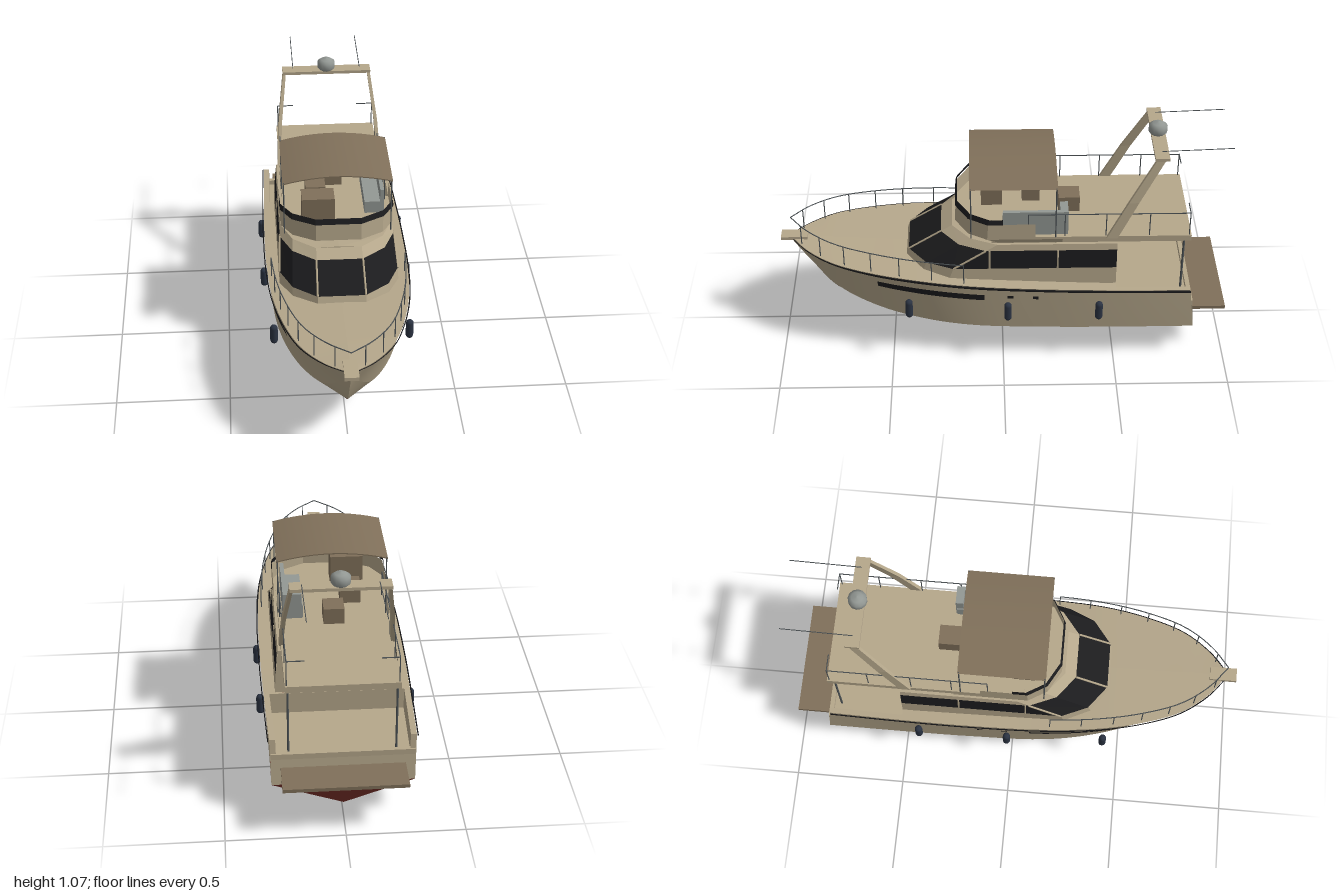
import * as THREE from 'three';

const mat = (name, color, side = THREE.DoubleSide) => {
  const m = new THREE.MeshStandardMaterial({ color, side });
  m.name = name;
  return m;
};
const V = (x, y, z) => new THREE.Vector3(x, y, z);

export function createModel() {
  const cream = mat('cream', 0xb5a78b), teak = mat('teak', 0x80705a), black = mat('dark glass', 0x1c1c1e),
    red = mat('bottom red', 0x54201a), navy = mat('fender navy', 0x2b3342), grey = mat('light grey', 0x939894),
    steel = mat('steel', 0x4e5457);
  const boat = new THREE.Group();
  boat.name = 'motorYacht';

  const add = (name, geo, m, x = 0, y = 0, z = 0) => {
    const mesh = new THREE.Mesh(geo, m);
    mesh.name = name;
    mesh.position.set(x, y, z);
    boat.add(mesh);
    return mesh;
  };
  // Box given by its extents
  const box = (name, m, x0, x1, y0, y1, z0, z1) =>
    add(name, new THREE.BoxGeometry(x1 - x0, y1 - y0, z1 - z0), m, (x0 + x1) / 2, (y0 + y1) / 2, (z0 + z1) / 2);
  const rod = (name, m, a, b, r, sides = 6) => {
    const mesh = add(name, new THREE.CylinderGeometry(r, r, a.distanceTo(b), sides), m);
    mesh.position.copy(a).add(b).multiplyScalar(0.5);
    mesh.quaternion.setFromUnitVectors(V(0, 1, 0), b.clone().sub(a).normalize());
    return mesh;
  };
  // Surface through rows of points
  const skin = (name, m, rows, flat = false) => {
    const n = rows[0].length, idx = [];
    for (let i = 0; i < rows.length - 1; i++)
      for (let j = 0; j < n - 1; j++) {
        const a = i * n + j, b = a + n;
        idx.push(a, a + 1, b, b, a + 1, b + 1);
      }
    let geo = new THREE.BufferGeometry().setFromPoints(rows.flat());
    geo.setIndex(idx);
    if (flat) geo = geo.toNonIndexed();
    geo.computeVertexNormals();
    return add(name, geo, m);
  };
  const flip = (p) => V(-p.x, p.y, p.z);
  // Same surface on both sides of the boat
  const skinBoth = (name, m, rows) => {
    skin(name + 'Left', m, rows);
    skin(name + 'Right', m, rows.map((r) => r.map(flip)).reverse());
  };

  // Hull lines from bow to stern
  const line = (pts) => new THREE.CatmullRomCurve3(pts.map((p) => V(...p)));
  const sheer = line([[0, 0.48, 0.96], [0.1, 0.47, 0.88], [0.19, 0.462, 0.76], [0.25, 0.452, 0.6], [0.293, 0.44, 0.4],
    [0.315, 0.42, 0.15], [0.32, 0.4, -0.2], [0.315, 0.387, -0.5], [0.305, 0.375, -0.83]]);
  const chine = line([[0, 0.45, 0.95], [0.03, 0.37, 0.87], [0.1, 0.265, 0.75], [0.18, 0.215, 0.58], [0.245, 0.19, 0.38],
    [0.285, 0.175, 0.15], [0.298, 0.168, -0.2], [0.3, 0.165, -0.5], [0.3, 0.165, -0.855]]);
  const keel = line([[0, 0.44, 0.945], [0, 0.32, 0.865], [0, 0.176, 0.755], [0, 0.115, 0.6], [0, 0.085, 0.38],
    [0, 0.073, 0.15], [0, 0.068, -0.2], [0, 0.068, -0.5], [0, 0.068, -0.865]]);
  const row = (fn, u0 = 0, u1 = 1, n = 48) =>
    Array.from({ length: n + 1 }, (_, i) => fn(u0 + ((u1 - u0) * i) / n));
  const S = (u) => sheer.getPoint(u), C = (u) => chine.getPoint(u), K = (u) => keel.getPoint(u);
  const water = (u) => {
    const k = K(u), c = C(u);
    return k.clone().lerp(c, THREE.MathUtils.clamp((0.188 - k.y) / (c.y - k.y), 0, 1));
  };
  const side = (t, off = 0) => (u) => C(u).lerp(S(u), t).add(V(off, 0, off * 0.3 * (1 - u)));

  skinBoth('hullBottom', red, [row(K), row(water)]);
  skinBoth('hullForefoot', cream, [row(water), row(C)]);
  skinBoth('hullTopside', cream, [row(C), row(side(0.5)), row(S)]);
  skinBoth('rubRail', black, [row(side(0.94, 0.004)), row(side(0.97, 0.008)), row(side(1, 0.004))]);
  skinBoth('hullWindow', black, [row(side(0.68, 0.004), 0.4, 0.65), row(side(0.81, 0.004), 0.4, 0.65)]);
  for (const u of [0.686, 0.725])
    skinBoth('porthole', black, [row(side(0.75, 0.004), u, u + 0.009, 2), row(side(0.82, 0.004), u, u + 0.009, 2)]);

  // Deck, cockpit and transom
  const mid = (u) => V(0, S(u).y + 0.006, S(u).z);
  skinBoth('deck', cream, [row(S, 0, 0.875), row(mid, 0, 0.875)]);
  const inner = (u) => S(u).add(V(-0.025, 0, 0));
  const foot = (u) => V(inner(u).x, 0.285, S(u).z);
  skinBoth('bulwarkTop', cream, [row(S, 0.875, 1, 6), row(inner, 0.875, 1, 6)]);
  skinBoth('bulwarkInside', cream, [row(inner, 0.875, 1, 6), row(foot, 0.875, 1, 6)]);
  skinBoth('bulwarkEnd', cream, [[S(1), inner(1)], [V(0.303, 0.285, -0.84), V(0.278, 0.285, -0.84)]]);
  box('cockpitFloor', cream, -0.295, 0.295, 0.27, 0.287, -0.83, -0.49);
  box('bulkhead', cream, -0.295, 0.295, 0.28, 0.385, -0.505, -0.495);
  box('transomSill', cream, -0.3, 0.3, 0.285, 0.31, -0.845, -0.825);
  skin('transom', cream, [[V(-0.303, 0.31, -0.842), V(0.303, 0.31, -0.842)], [V(-0.3, 0.165, -0.855), V(0.3, 0.165, -0.855)]]);
  skin('transomBottom', red, [[V(-0.3, 0.165, -0.855), V(0, 0.165, -0.855), V(0.3, 0.165, -0.855)],
    [V(-0.3, 0.165, -0.855), V(0, 0.068, -0.865), V(0.3, 0.165, -0.855)]], true);
  box('swimPlatform', teak, -0.26, 0.26, 0.23, 0.246, -1, -0.835);
  box('bowPulpit', cream, -0.03, 0.03, 0.472, 0.488, 0.88, 1);

  // Rounded-front plan outline used by cabin and flybridge
  const plan = (w, front, y, back, k = 1) => {
    const half = [V(w, y, back), V(w, y, front - 0.2 * k), V(0.8 * w, y, front - 0.08 * k), V(0.4 * w, y, front)];
    return [...half.map(flip), ...half.reverse()];
  };
  const spine = (ring, dy = 0) => ring.map((p) => V(0, p.y + dy, p.z));

  // Cabin
  const c0 = plan(0.265, 0.45, 0.39, -0.5), c1 = plan(0.262, 0.42, 0.475, -0.5),
    c2 = plan(0.255, 0.275, 0.567, -0.5), c3 = plan(0.25, 0.225, 0.597, -0.5);
  skin('cabinBase', cream, [c0, c1], true);
  skin('cabinWindows', black, [c1, c2], true);
  skin('cabinTop', cream, [c2, c3], true);
  skin('cabinRoof', cream, [c3, spine(c3, 0.005)], true);
  skin('cabinBack', cream, [[c0[0], c0[7]], [c1[0], c1[7]], [c3[0], c3[7]]], true);
  for (const i of [1, 3, 4, 6]) rod('windowPillar', cream, c1[i], c2[i], 0.005);
  for (const s of [-1, 1])
    for (const z of [0.06, -0.24]) rod('windowDivider', cream, V(s * 0.262, 0.475, z), V(s * 0.255, 0.567, z), 0.004);

  // Flybridge
  const f0 = plan(0.235, 0.13, 0.595, -0.26, 0.6), f1 = plan(0.25, 0.21, 0.625, -0.14, 0.7),
    f2 = plan(0.25, 0.205, 0.705, -0.14, 0.7);
  skin('flybridgeFlare', cream, [f0, plan(0.25, 0.21, 0.625, -0.26, 0.7)], true);
  skin('flybridgeFloor', cream, [f1, spine(f1)], true);
  skin('flybridgeCoaming', cream, [f1, f2], true);
  skin('coamingRim', black, [plan(0.253, 0.209, 0.705, 0, 0.7), plan(0.25, 0.2, 0.73, 0, 0.7)], true);
  box('upperDeck', cream, -0.237, 0.237, 0.598, 0.627, -0.825, 0.05);
  box('helmConsole', teak, -0.155, -0.01, 0.627, 0.765, 0, 0.095);
  box('helmSeat', teak, -0.13, -0.04, 0.627, 0.715, -0.17, -0.09);
  box('aftSeat', teak, -0.045, 0.045, 0.627, 0.7, -0.345, -0.25);
  box('benchSeat', grey, 0.13, 0.21, 0.627, 0.685, -0.28, 0);
  box('benchBack', grey, 0.2, 0.217, 0.627, 0.745, -0.28, 0);
  box('benchEnd', grey, 0.135, 0.217, 0.627, 0.745, -0.285, -0.25);

  // Arched canopy on four poles
  const arch = (z, dy = 0) => row((u) => V((u - 0.5) * 0.48, 0.88 + dy + 0.032 * (1 - (2 * u - 1) ** 2), z), 0, 1, 12);
  skin('canopyTop', teak, [arch(0.145), arch(-0.235)]);
  for (const z of [0.145, -0.235]) skin('canopyEdge', teak, [arch(z), arch(z, -0.005)]);
  for (const s of [-1, 1])
    for (const z of [0.14, -0.23]) rod('canopyPole', steel, V(s * 0.235, 0.625, z), V(s * 0.235, 0.882, z), 0.003);

  // Radar arch, dome and aerials
  for (const s of [-1, 1]) {
    skin('archLeg', cream, [[-0.024, -1], [0.024, -1], [0.024, 1], [-0.024, 1], [-0.024, -1]].map(([dz, k]) =>
      [V(s * 0.237 + k * 0.008, 0.62, -0.475 + dz), V(s * 0.225 + k * 0.008, 0.8, -0.565 + dz * 0.9),
        V(s * 0.198 + k * 0.007, 1, -0.675 + dz * 0.8)]), true);
    rod('aerial', steel, V(s * 0.157, 1.015, -0.68), V(s * 0.157, 1.027, -0.99), 0.002);
    rod('deckPost', steel, V(s * 0.225, 0.285, -0.795), V(s * 0.225, 0.6, -0.795), 0.005);
  }
  box('archBar', cream, -0.207, 0.207, 0.996, 1.01, -0.71, -0.648);
  const dome = [[0, 1.008], [0.03, 1.008], [0.041, 1.02], [0.041, 1.048], [0.025, 1.06], [0, 1.066]];
  add('radarDome', new THREE.LatheGeometry(dome.map((p) => new THREE.Vector2(...p)), 12), grey, 0, 0, -0.677);

  // Railings
  const rail = (name, pts) => {
    for (let i = 1; i < pts.length; i++) rod(name, steel, pts[i - 1], pts[i], 0.0025, 5);
  };
  const railTop = (u) => {
    const p = S(u);
    return V(p.x * 0.95, 0.52 + (0.057 * (p.z - 0.18)) / 0.78, p.z - 0.008);
  };
  for (const s of [-1, 1]) {
    const m = (p) => V(s * p.x, p.y, p.z);
    rail('bowRail', row(railTop, 0, 0.61, 18).map(m));
    for (const u of [0.08, 0.19, 0.29, 0.38, 0.46, 0.54, 0.61])
      rod('bowRailPost', steel, m(railTop(u)), m(V(railTop(u).x, S(u).y, railTop(u).z)), 0.0025, 5);
    rail('upperRail', [V(0.23, 0.742, -0.11), V(0.23, 0.742, -0.815), V(0.155, 0.742, -0.815)].map(m));
    for (const z of [-0.11, -0.27, -0.45, -0.64, -0.815])
      rod('upperRailPost', steel, m(V(0.23, 0.625, z)), m(V(0.23, 0.742, z)), 0.0025, 5);

    // Fenders
    for (const [x, z] of [[0.298, 0.42], [0.328, -0.02], [0.328, -0.425]])
      add('fender', new THREE.CapsuleGeometry(0.017, 0.062, 4, 10), navy, s * x, 0.285, z);

    // Running gear
    rod('propShaft', steel, V(s * 0.095, 0.1, -0.03), V(s * 0.095, 0.047, -0.63), 0.005);
    rod('shaftStrut', grey, V(s * 0.095, 0.05, -0.53), V(s * 0.095, 0.14, -0.53), 0.006);
    rod('propHub', grey, V(s * 0.095, 0.05, -0.6), V(s * 0.095, 0.047, -0.635), 0.012, 8);
    for (let i = 0; i < 3; i++) {
      const a = (i * Math.PI * 2) / 3;
      const blade = add('propBlade', new THREE.BoxGeometry(0.036, 0.015, 0.004), grey,
        s * 0.095 + 0.024 * Math.cos(a), 0.048 + 0.024 * Math.sin(a), -0.617);
      blade.rotation.set(0, 0, a + Math.PI / 2 * (i === 0 ? 1 : 0));
    }
    box('rudder', red, s * 0.095 - 0.005, s * 0.095 + 0.005, 0, 0.14, -0.715, -0.655);
  }
  return boat;
}
